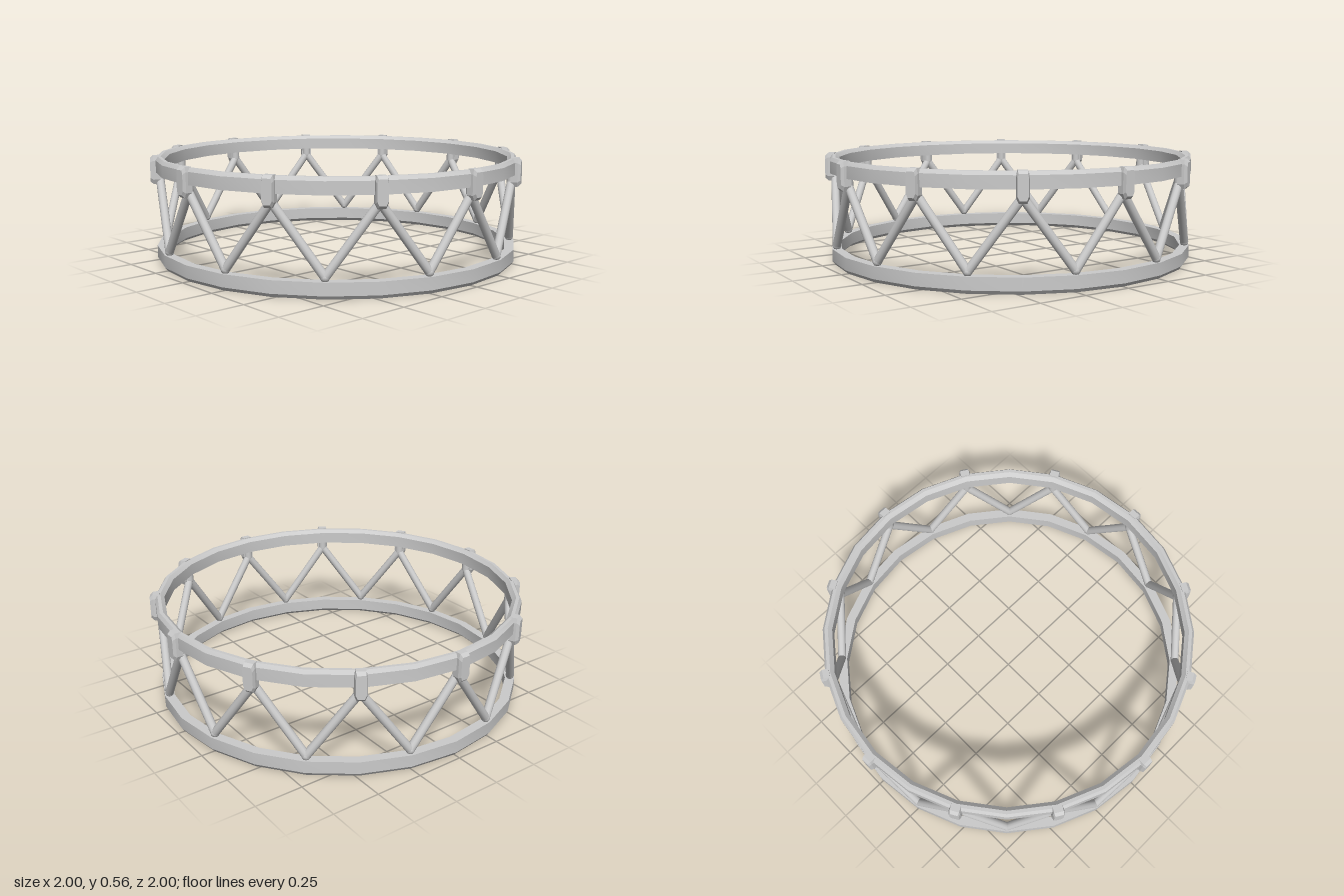
import * as THREE from 'three';
import { toCreasedNormals } from 'three/addons/utils/BufferGeometryUtils.js';

const COUNT = 12;          // clips and V-shaped braces around the hoop
const STRUT_R = 0.95;      // radius on which the struts stand
const UP = new THREE.Vector3(0, 1, 0);

const polar = (r, angle, y) => new THREE.Vector3(r * Math.sin(angle), y, r * Math.cos(angle));

export function createModel() {
  const model = new THREE.Group();
  const material = new THREE.MeshStandardMaterial({ color: 0xcccccc });

  const add = (parent, geometry, name) => {
    const mesh = new THREE.Mesh(geometry, material);
    mesh.name = name;
    parent.add(mesh);
    return mesh;
  };
  const addGroup = (name) => {
    const group = new THREE.Group();
    group.name = name;
    model.add(group);
    return group;
  };

  // Lower ring, bevelled along its bottom edges; counter-clockwise section
  const section = [[0.945, 0], [0.962, 0], [0.975, 0.018], [0.975, 0.082], [0.925, 0.082], [0.925, 0.018], [0.945, 0]];
  const ring = (points) => toCreasedNormals(
    new THREE.LatheGeometry(points.map(([r, y]) => new THREE.Vector2(r, y)), 24), 0.4);
  add(model, ring(section), 'lowerRing');

  // Upper ring is the same section turned upside down
  add(model, ring(section.map(([r, y]) => [r, 0.56 - y]).reverse()), 'upperRing');

  // Zigzag struts with rounded joints
  const struts = addGroup('struts');
  const rod = (a, b, radius, name) => {
    const dir = b.clone().sub(a);
    const mesh = add(struts, new THREE.CylinderGeometry(radius, radius, dir.length(), 12, 1, true), name);
    mesh.position.copy(a).add(b).multiplyScalar(0.5);
    mesh.quaternion.setFromUnitVectors(UP, dir.normalize());
  };
  const ball = (p, radius, name) =>
    add(struts, new THREE.SphereGeometry(radius, 12, 8), name).position.copy(p);

  // Clip: tapered octagonal plate whose outer face is drawn in
  const outline = [[-0.019, -0.075], [0.019, -0.075], [0.03, -0.05], [0.03, 0.05],
    [0.024, 0.075], [-0.024, 0.075], [-0.03, 0.05], [-0.03, -0.05]];
  const clipGeometry = new THREE.ExtrudeGeometry(
    new THREE.Shape(outline.map(([x, y]) => new THREE.Vector2(x, y))),
    { depth: 0.05, steps: 2, bevelEnabled: false });
  const pos = clipGeometry.attributes.position;
  for (let i = 0; i < pos.count; i++) {
    const z = pos.getZ(i);
    if (z > 0.04) pos.setXY(i, pos.getX(i) * 0.85, pos.getY(i) * 0.8);
    else if (z > 0.01) pos.setZ(i, 0.034);
  }
  clipGeometry.computeVertexNormals();
  const clips = addGroup('clips');

  for (let i = 0; i < COUNT; i++) {
    const angle = (i / COUNT) * Math.PI * 2;
    const half = Math.PI / COUNT;
    const top = polar(STRUT_R, angle, 0.44);
    for (const side of [-1, 1]) {
      rod(polar(STRUT_R, angle + side * half, 0.1), top, 0.022, 'strut');
    }
    ball(top, 0.024, 'topJoint');
    ball(polar(STRUT_R, angle + half, 0.1), 0.023, 'bottomJoint');
    rod(top, polar(STRUT_R, angle, 0.49), 0.024, 'jointPost');

    const clip = add(clips, clipGeometry, 'clip');
    clip.position.copy(polar(0.95, angle, 0.49));
    clip.rotation.y = angle;
  }

  return model;
}
